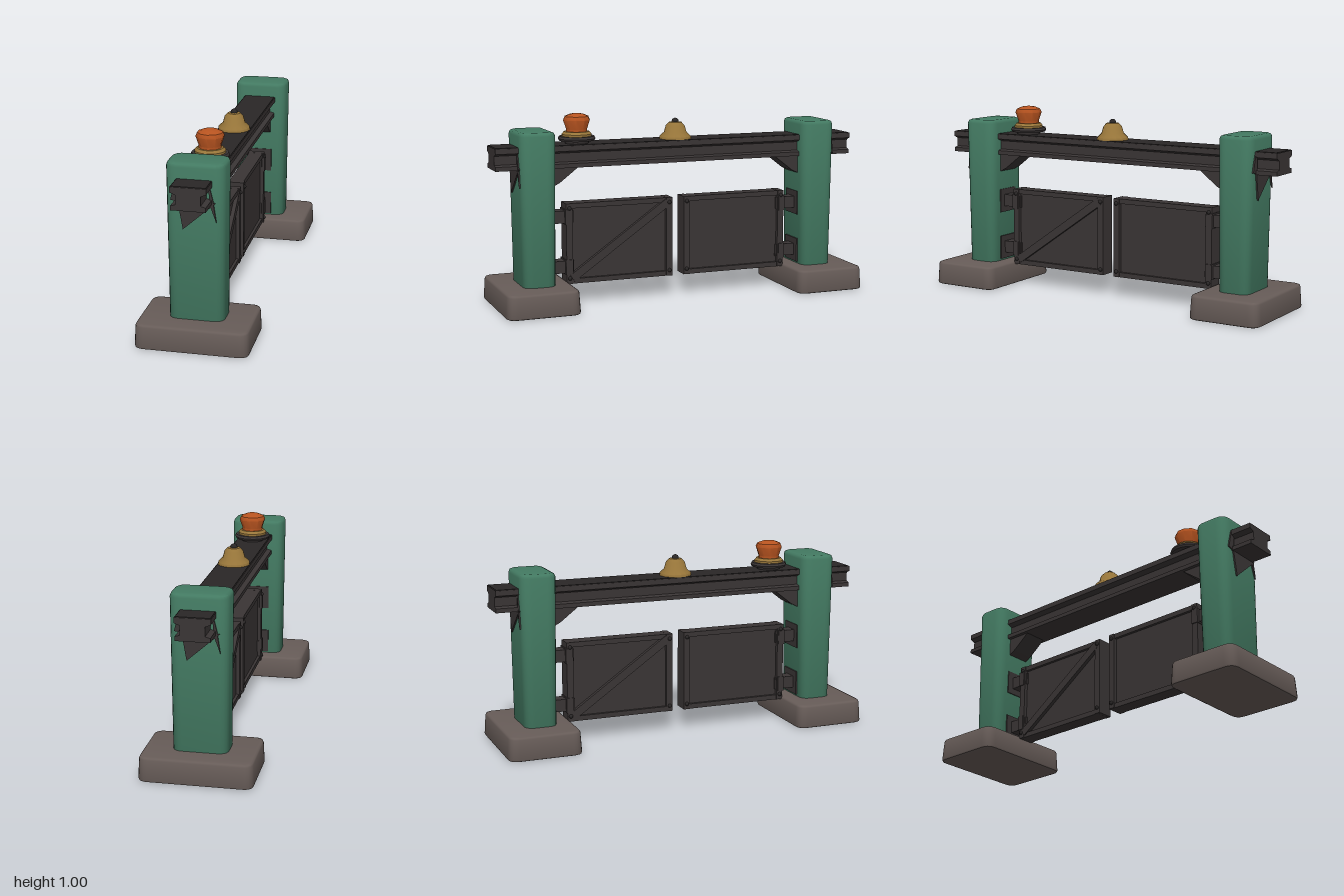
import * as THREE from 'three';
import { toCreasedNormals } from 'three/addons/utils/BufferGeometryUtils.js';

const mat = (name, color) => {
  const m = new THREE.MeshStandardMaterial({ color });
  m.name = name;
  return m;
};

export function createModel() {
  const green = mat('postGreen', 0x437a62);
  const iron = mat('darkIron', 0x3a3535);
  const black = mat('blackIron', 0x2a2727);
  const stone = mat('stone', 0x675c58);
  const orange = mat('beaconOrange', 0xb85420);
  const gold = mat('brass', 0x98763a);

  const add = (parent, name, geo, material, x = 0, y = 0, z = 0) => {
    const mesh = new THREE.Mesh(geo, material);
    mesh.name = name;
    mesh.position.set(x, y, z);
    parent.add(mesh);
    return mesh;
  };
  const box = (parent, name, material, w, h, d, x, y, z) =>
    add(parent, name, new THREE.BoxGeometry(w, h, d), material, x, y, z);
  const polygon = (pts) => new THREE.Shape(pts.map(([a, b]) => new THREE.Vector2(a, b)));
  const extrude = (shape, depth) => new THREE.ExtrudeGeometry(shape, { depth, bevelEnabled: false });
  const lathe = (pts, sides) => toCreasedNormals(
    new THREE.LatheGeometry(pts.map(([r, y]) => new THREE.Vector2(r, y)), sides), 0.7);

  // Upright block with rounded plan corners, bevelled rims and a linear taper
  const block = (w, d, h, r, bevel, bottomScale, topScale) => {
    const a = w / 2 - bevel, b = d / 2 - bevel;
    const s = new THREE.Shape();
    s.moveTo(-a + r, -b);
    s.lineTo(a - r, -b); s.quadraticCurveTo(a, -b, a, -b + r);
    s.lineTo(a, b - r); s.quadraticCurveTo(a, b, a - r, b);
    s.lineTo(-a + r, b); s.quadraticCurveTo(-a, b, -a, b - r);
    s.lineTo(-a, -b + r); s.quadraticCurveTo(-a, -b, -a + r, -b);
    const g = new THREE.ExtrudeGeometry(s, {
      depth: h - 2 * bevel, bevelSize: bevel, bevelThickness: bevel, bevelSegments: 2, curveSegments: 5,
    });
    g.rotateX(-Math.PI / 2);
    g.translate(0, bevel, 0);
    const p = g.attributes.position;
    for (let i = 0; i < p.count; i++) {
      const k = THREE.MathUtils.lerp(bottomScale, topScale, p.getY(i) / h);
      p.setX(i, p.getX(i) * (0.5 + k / 2));
      p.setZ(i, p.getZ(i) * k);
    }
    return toCreasedNormals(g, 0.8);
  };

  // One half of the gate, on the +z side
  const buildSide = (name) => {
    const g = new THREE.Group();
    g.name = name;
    add(g, 'footing', block(0.57, 0.39, 0.125, 0.04, 0.012, 1, 0.96), stone, 0, 0, 0.805);
    add(g, 'post', block(0.29, 0.19, 0.82, 0.035, 0.02, 0.9, 1), green, 0, 0.1, 0.787);

    // Sloping brace below the beam
    const brace = extrude(polygon([[0.7, 0.63], [0.66, 0.65], [0.55, 0.735], [0.7, 0.735]]), 0.13);
    brace.rotateY(-Math.PI / 2);
    add(g, 'beamBrace', brace, iron, 0.065);

    // Dark plates on the outer face around the beam end
    [[[-0.08, 0.74], [-0.055, 0.595], [0.105, 0.735]],
      [[0.07, 0.84], [0.075, 0.73], [0.108, 0.64], [0.092, 0.75]],
      [[-0.07, 0.845], [-0.09, 0.835], [-0.115, 0.74], [-0.07, 0.73]],
    ].forEach((pts) => {
      const s = polygon(THREE.ShapeUtils.isClockWise(pts.map(([x, y]) => ({ x, y }))) ? pts.reverse() : pts);
      add(g, 'outerPlate', extrude(s, 0.008), iron, 0, 0, 0.879);
    });

    // Hinges and their mounting plates
    for (const y of [0.465, 0.2]) {
      box(g, 'hinge', iron, 0.07, 0.065, 0.13, 0, y, 0.645);
      box(g, 'hingeKnuckle', iron, 0.1, 0.08, 0.035, 0, y, 0.61);
      box(g, 'hingePlate', iron, 0.14, 0.13, 0.009, 0, y, 0.697);
    }

    // Framed gate leaf
    box(g, 'gatePanel', iron, 0.05, 0.39, 0.57, 0, 0.322, 0.325);
    for (const z of [0.05, 0.605]) {
      box(g, 'gateStile', iron, 0.09, 0.425, 0.035, 0, 0.323, z);
      for (const y of [0.14, 0.51]) {
        for (const x of [-0.046, 0.046]) {
          add(g, 'rivet', new THREE.SphereGeometry(0.011, 8, 6), black, x, y, z);
        }
      }
    }
    for (const y of [0.123, 0.522]) box(g, 'gateRail', iron, 0.08, 0.026, 0.56, 0, y, 0.327);
    const diagonal = box(g, 'gateDiagonal', iron, 0.028, 0.042, 0.65, 0.032, 0.325, 0.325);
    diagonal.rotation.x = Math.atan2(0.37, 0.53);
    return g;
  };

  const model = new THREE.Group();
  model.name = 'gate';
  model.add(buildSide('frontHalf'));
  const back = buildSide('backHalf');
  back.rotation.y = Math.PI;
  model.add(back);

  // I-section beam running through both posts
  const half = [[0.085, 0.728], [0.085, 0.75], [0.06, 0.757], [0.06, 0.803], [0.088, 0.815], [0.088, 0.842]];
  const profile = polygon([...half, ...half.map(([x, y]) => [-x, y]).reverse()]);
  add(model, 'beam', extrude(profile, 2), iron, 0, 0, -1);
  box(model, 'beamTopStrip', black, 0.168, 0.006, 1.99, 0, 0.842, 0);

  // Bell at mid span
  add(model, 'bell', lathe([[0, 0.845], [0.085, 0.845], [0.083, 0.858], [0.06, 0.88], [0.05, 0.915],
    [0.033, 0.933], [0, 0.937]], 16), gold);
  add(model, 'bellKnob', new THREE.SphereGeometry(0.019, 10, 8), black, 0, 0.936, 0);

  // Warning beacon
  const beacon = new THREE.Group();
  beacon.name = 'beacon';
  beacon.position.z = 0.547;
  model.add(beacon);
  add(beacon, 'beaconBase', lathe([[0, 0.84], [0.06, 0.84], [0.065, 0.857], [0.092, 0.859], [0.097, 0.87],
    [0.092, 0.882], [0, 0.884]], 18), iron);
  add(beacon, 'beaconCollar', lathe([[0, 0.88], [0.078, 0.88], [0.078, 0.893], [0.066, 0.906], [0, 0.906]], 16), gold);
  add(beacon, 'beaconLamp', lathe([[0, 0.9], [0.057, 0.9], [0.056, 0.918], [0.072, 0.965], [0.064, 0.984],
    [0.035, 0.996], [0, 1]], 10), orange);
  return model;
}
